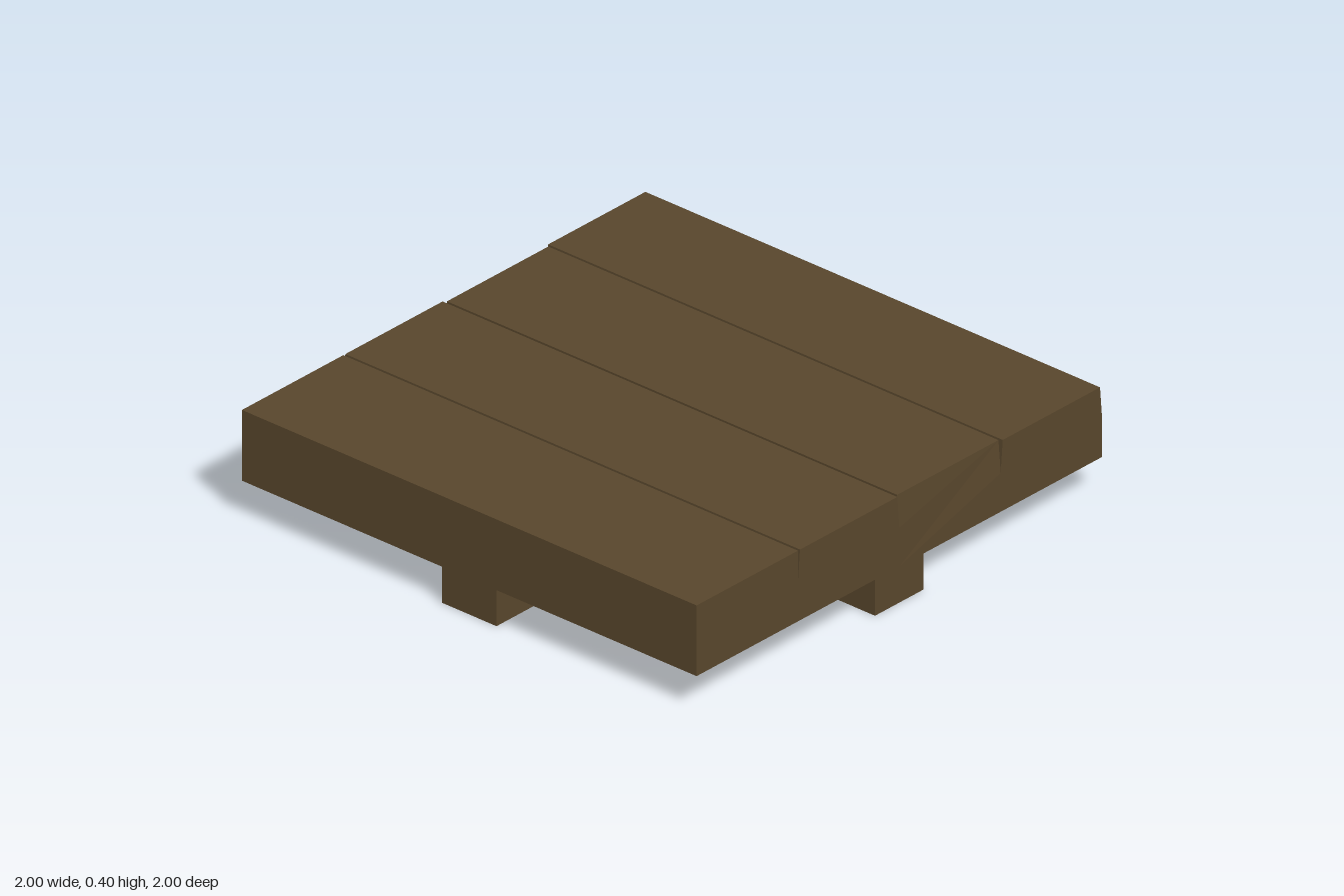
import * as THREE from 'three';

const BASE = 0.135, NOTCH = 0.28, TOP = 0.4;

const shapeFrom = (pts) => new THREE.Shape(pts.map(([a, b]) => new THREE.Vector2(a, b)));

// Plank running along x; front/back bevels lean the upper sides inward, endBevel the ends
function plankGeometry(zFront, zBack, frontBevel, backBevel, endBevel) {
  const profile = shapeFrom([
    [zBack, BASE], [zFront, BASE], [zFront, NOTCH], [zFront - frontBevel, TOP],
    [zBack + backBevel, TOP], [zBack, NOTCH],
  ]);
  const geo = new THREE.ExtrudeGeometry(profile, { depth: 2, bevelEnabled: false });
  geo.rotateY(-Math.PI / 2).translate(1, 0, 0);
  const p = geo.attributes.position;
  for (let i = 0; i < p.count; i++) {
    if (p.getY(i) > TOP - 0.001) p.setX(i, p.getX(i) * (1 - endBevel));
  }
  geo.computeVertexNormals();
  return geo;
}

export function createModel() {
  const group = new THREE.Group();
  const wood = new THREE.MeshStandardMaterial({ color: 0x58462c });
  wood.name = 'dark wood';

  // Four planks, front to back: [front bevel, back bevel, end bevel]
  const bevels = [[0, 0, 0], [0.01, 0.01, 0], [0, 0, 0.01], [0.01, 0.01, 0]];
  bevels.forEach(([front, back, end], i) => {
    const z = 1 - i * 0.5;
    const plank = new THREE.Mesh(plankGeometry(z, z - 0.5, front, back, end), wood);
    plank.name = `plank${i + 1}`;
    group.add(plank);
  });

  // Crossed support beams under the planks
  const w = 0.12;
  const cross = shapeFrom([
    [-w, -1], [w, -1], [w, -w], [1, -w], [1, w], [w, w],
    [w, 1], [-w, 1], [-w, w], [-1, w], [-1, -w], [-w, -w],
  ]);
  const crossGeo = new THREE.ExtrudeGeometry(cross, { depth: BASE, bevelEnabled: false });
  crossGeo.rotateX(-Math.PI / 2);
  const beams = new THREE.Mesh(crossGeo, wood);
  beams.name = 'crossBeams';
  group.add(beams);

  return group;
}
